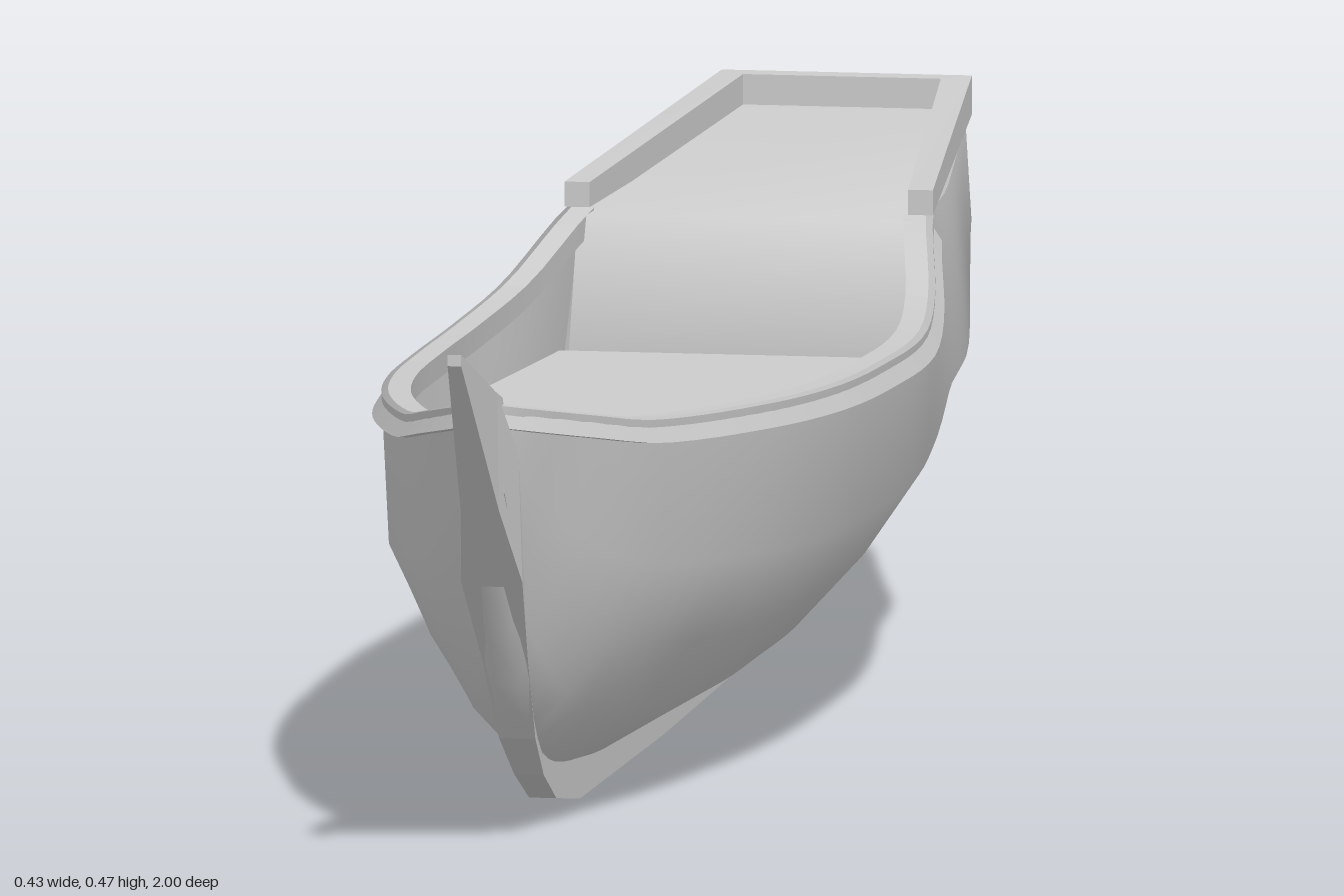
import * as THREE from 'three';

// Hull stations: z, sheer height, bottom height, half beam at sheer,
// then half-beam fractions at the waist, bilge and floor
const STATIONS = [
  [0.85, 0.405, 0.32, 0.014, 1, 0.9, 0.8],
  [0.80, 0.395, 0.23, 0.040, 0.75, 0.55, 0.38],
  [0.72, 0.380, 0.125, 0.075, 0.85, 0.65, 0.4],
  [0.62, 0.363, 0.065, 0.110, 0.92, 0.72, 0.45],
  [0.40, 0.347, 0.035, 0.167, 0.96, 0.75, 0.46],
  [0.20, 0.336, 0.025, 0.197, 0.96, 0.74, 0.46],
  [0.00, 0.329, 0.025, 0.207, 0.96, 0.73, 0.46],
  [-0.20, 0.327, 0.025, 0.207, 0.96, 0.73, 0.46],
  [-0.35, 0.343, 0.030, 0.190, 1.0, 0.75, 0.46],
  [-0.50, 0.386, 0.040, 0.162, 1.1, 0.83, 0.46],
  [-0.65, 0.390, 0.060, 0.148, 1.13, 0.83, 0.4],
  [-0.78, 0.396, 0.150, 0.133, 1.1, 0.75, 0.36],
  [-0.92, 0.402, 0.220, 0.116, 1.06, 0.85, 0.5],
];
const LEVELS = [1, 0.58, 0.35, 0.15, 0];

// Smooth interpolation of the station table at any z
function station(z) {
  const S = STATIONS, n = S.length;
  let i = 0;
  while (i < n - 2 && z < S[i + 1][0]) i++;
  const a = S[i], b = S[i + 1], h = b[0] - a[0];
  const t = THREE.MathUtils.clamp((z - a[0]) / h, 0, 1);
  const p = S[Math.max(i - 1, 0)], q = S[Math.min(i + 2, n - 1)];
  return a.map((v, k) => {
    const m0 = (b[k] - p[k]) / (b[0] - p[0]) * h, m1 = (q[k] - v) / (q[0] - a[0]) * h;
    const t2 = t * t, t3 = t2 * t;
    return (2 * t3 - 3 * t2 + 1) * v + (t3 - 2 * t2 + t) * m0 + (3 * t2 - 2 * t3) * b[k] + (t3 - t2) * m1;
  });
}

// Half cross-section as [x, y] from sheer down to keel
function section(z) {
  const [, top, bot, w, f1, f2, f3] = station(z);
  const xs = [w, w * f1, w * f2, w * f3, 0.01];
  return xs.map((x, i) => [x, bot + (top - bot) * LEVELS[i]]);
}

// Half width inside the planking at a height
function innerWidth(z, y) {
  const s = section(z);
  let i = 0;
  while (i < s.length - 2 && y < s[i + 1][1]) i++;
  const t = THREE.MathUtils.clamp((s[i][1] - y) / (s[i][1] - s[i + 1][1]), 0, 1);
  return Math.max(0.002, THREE.MathUtils.lerp(s[i][0], s[i + 1][0], t) - 0.014);
}

const range = (a, b, n) => Array.from({ length: n + 1 }, (_, i) => a + (b - a) * i / n);

// Skin a list of rings; closed rings also get end caps
function loft(name, rings, { closed = false, flat = false } = {}) {
  const n = rings[0].length, index = [];
  for (let i = 0; i < rings.length - 1; i++) {
    for (let j = 0; j < (closed ? n : n - 1); j++) {
      const a = i * n + j, b = i * n + (j + 1) % n;
      index.push(a, b, a + n, b, b + n, a + n);
    }
  }
  if (closed) {
    const e = (rings.length - 1) * n;
    for (let j = 1; j < n - 1; j++) index.push(0, j + 1, j, e, e + j, e + j + 1);
  }
  const geometry = new THREE.BufferGeometry();
  geometry.setAttribute('position', new THREE.Float32BufferAttribute(rings.flat(2), 3));
  geometry.setIndex(index);
  geometry.computeVertexNormals();
  const mesh = new THREE.Mesh(geometry, new THREE.MeshStandardMaterial({
    color: 0xcccccc, side: THREE.DoubleSide, flatShading: flat }));
  mesh.name = name;
  return mesh;
}

// Four-sided bar following the centreline: outer z, y, inner z, y, half width
const bar = (name, rows) => loft(name, rows.map(([zo, yo, zi, yi, w]) =>
  [[w, yo, zo], [w, yi, zi], [-w, yi, zi], [-w, yo, zo]]), { closed: true, flat: true });

// Deck strip spanning the inside of the hull
const deck = (name, zs, height) => loft(name, zs.map(z => {
  const y = height(z), w = innerWidth(z, y);
  return [[w, y, z], [0, y, z], [-w, y, z]];
}));

export function createModel() {
  const ship = new THREE.Group();
  ship.name = 'ship';

  // Outer planking, with the sternmost section raked aft
  const hullZ = range(0.85, -0.92, 48);
  const hullRings = hullZ.map((z, i) => {
    const half = section(z);
    const rake = i === hullZ.length - 1 ? 0.03 : 0;
    const p = half.map(([x, y], k) => [x, y, z - rake * (LEVELS[k] - 0.5)]);
    return [...p, ...p.slice().reverse().map(([x, y, d]) => [-x, y, d])];
  });
  ship.add(loft('hull', hullRings));

  // Flat transom closing the stern
  const last = hullRings[hullRings.length - 1];
  ship.add(loft('transom', LEVELS.map((_, k) => [last[k], last[9 - k]]), { flat: true }));

  // Bulwark linings and gunwales, mirrored
  const railZ = range(0.85, -0.5, 32);
  for (const s of [1, -1]) {
    const side = s > 0 ? 'left' : 'right';
    ship.add(loft(side + 'Bulwark', railZ.map(z => {
      const top = station(z)[1] - 0.01;
      const low = Math.min(top - 0.01, z > 0.56 ? 0.3 : 0.26);
      return [[s * innerWidth(z, top), top, z], [s * innerWidth(z, low), low, z]];
    })));
    ship.add(loft(side + 'Gunwale', railZ.map(z => {
      const [, y, , x] = station(z);
      const at = (dx, dy) => [s * Math.max(0.002, x + dx), y + dy, z];
      return [at(0.008, -0.02), at(-0.006, 0.002), at(-0.026, 0.002), at(-0.024, -0.02)];
    }), { closed: true, flat: true }));
  }

  // Main deck and raised foredeck with its step
  ship.add(deck('mainDeck', range(0.6, -0.48, 24), () => 0.265));
  const foreY = z => 0.312 + (z - 0.56) * 0.17;
  ship.add(deck('foredeck', range(0.84, 0.565, 8), foreY));
  const w = innerWidth(0.565, foreY(0.565));
  ship.add(loft('foredeckStep', [foreY(0.565), 0.265].map(y =>
    [[w, y, 0.555], [w * 0.5, y, 0.563], [0, y, 0.566], [-w * 0.5, y, 0.563], [-w, y, 0.555]])));

  // Quarterdeck and its bulkhead share one softly shaded surface
  const aft = [[0.155, 0.262, -0.48], [0.147, 0.384, -0.48], [0.095, 0.414, -0.985]];
  ship.add(loft('quarterdeck', aft.map(([x, y, z]) => [[x, y, z], [-x, y, z]])));

  // Rail running round the quarterdeck and overhanging the transom
  const corners = [[0.162, 0.14, -0.5, -0.5, 0], [0.11, 0.087, -1, -0.975, 1]];
  const railRing = (s, [xo, xi, zo, zi, t]) => {
    const bottom = 0.388 + 0.018 * t, top = 0.41 + 0.03 * t;
    return [[s * xo, bottom, zo], [s * xo, top, zo], [s * xi, top, zi], [s * xi, bottom, zi]];
  };
  ship.add(loft('quarterRail', [railRing(1, corners[0]), railRing(1, corners[1]),
    railRing(-1, corners[1]), railRing(-1, corners[0])], { closed: true, flat: true }));

  // Beak, stem, keel and sternpost in one continuous timber
  ship.add(bar('keel', [
    [1, 0.46, 1, 0.47, 0.006],
    [0.87, 0.315, 0.88, 0.42, 0.017],
    [0.81, 0.245, 0.83, 0.36, 0.027],
    [0.74, 0.165, 0.77, 0.25, 0.02],
    [0.68, 0.09, 0.7, 0.14, 0.016],
    [0.62, 0.05, 0.64, 0.09, 0.013],
    [0.55, 0.02, 0.57, 0.065, 0.012],
    [0.43, 0.003, 0.43, 0.045, 0.012],
    [0, 0, 0, 0.035, 0.012],
    [-0.5, 0.005, -0.5, 0.05, 0.012],
    [-0.69, 0.04, -0.65, 0.08, 0.012],
    [-0.74, 0.105, -0.7, 0.13, 0.012],
    [-0.895, 0.212, -0.87, 0.25, 0.012],
    [-0.98, 0.41, -0.92, 0.41, 0.012],
  ]));
  // Post where the planking meets the bow
  ship.add(bar('stemPost', [
    [0.87, 0.42, 0.835, 0.41, 0.014],
    [0.86, 0.33, 0.815, 0.33, 0.02],
    [0.81, 0.25, 0.78, 0.27, 0.024],
  ]));

  return ship;
}
